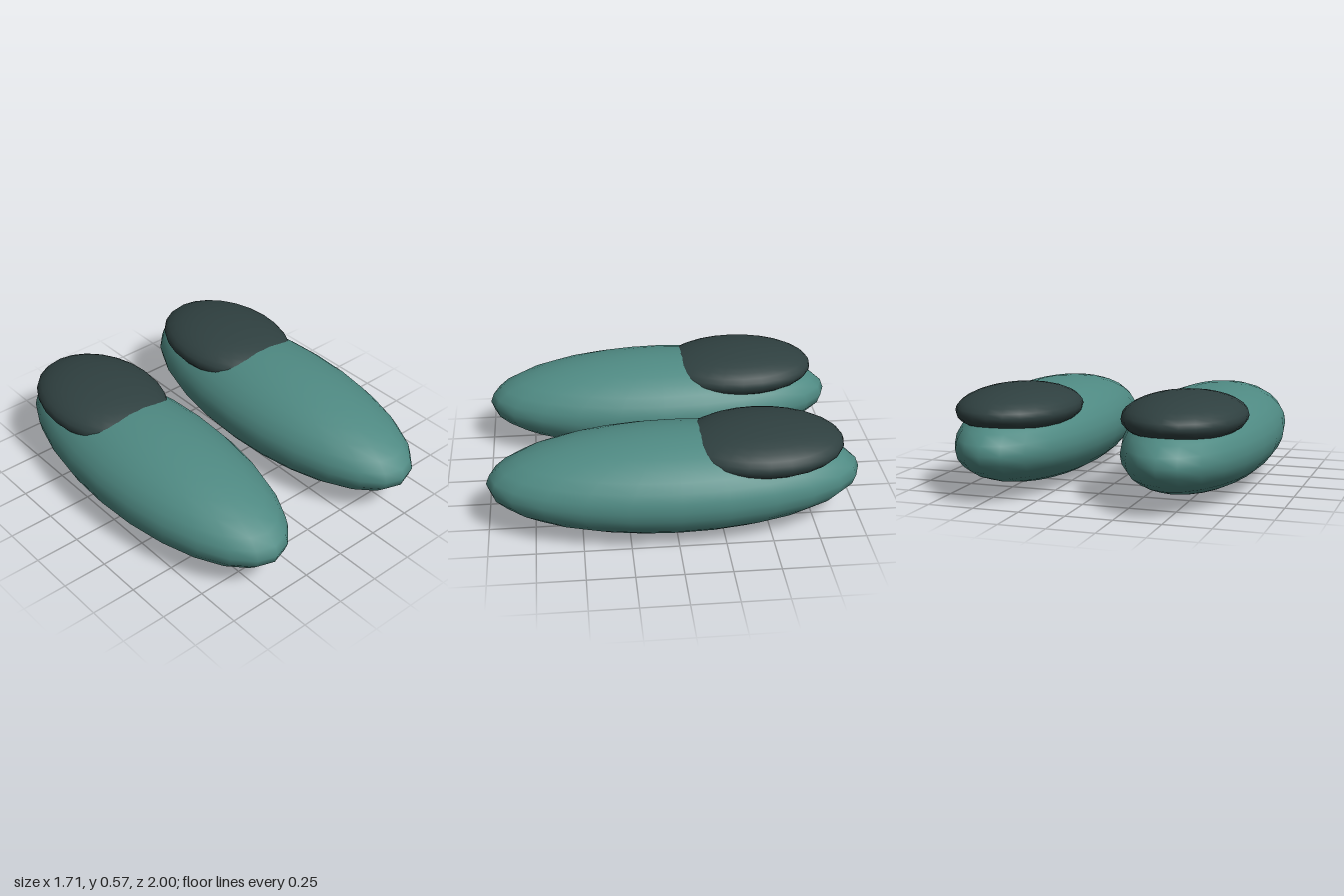
import * as THREE from 'three';

const teal = new THREE.MeshStandardMaterial({ color: 0x4f8a83 });
teal.name = 'teal';
const charcoal = new THREE.MeshStandardMaterial({ color: 0x2f4040 });
charcoal.name = 'charcoal';

// Smooth ellipsoid with the given radii
function ellipsoid(name, material, radii, position) {
  const geometry = new THREE.SphereGeometry(1, 24, 16).scale(...radii);
  const mesh = new THREE.Mesh(geometry, material);
  mesh.name = name;
  mesh.position.set(...position);
  return mesh;
}

export function createModel() {
  const model = new THREE.Group();
  model.name = 'slippers';
  for (const [side, sign] of [['left', 1], ['right', -1]]) {
    const slipper = new THREE.Group();
    slipper.name = side + 'Slipper';
    slipper.position.x = sign * 0.463;
    // Long rounded body
    slipper.add(ellipsoid('body', teal, [0.39, 0.265, 1], [0, 0.27, 0]));
    // Flattened opening pad sunk into the rear top
    slipper.add(ellipsoid('opening', charcoal, [0.323, 0.125, 0.445], [0, 0.448, -0.46]));
    model.add(slipper);
  }
  return model;
}
